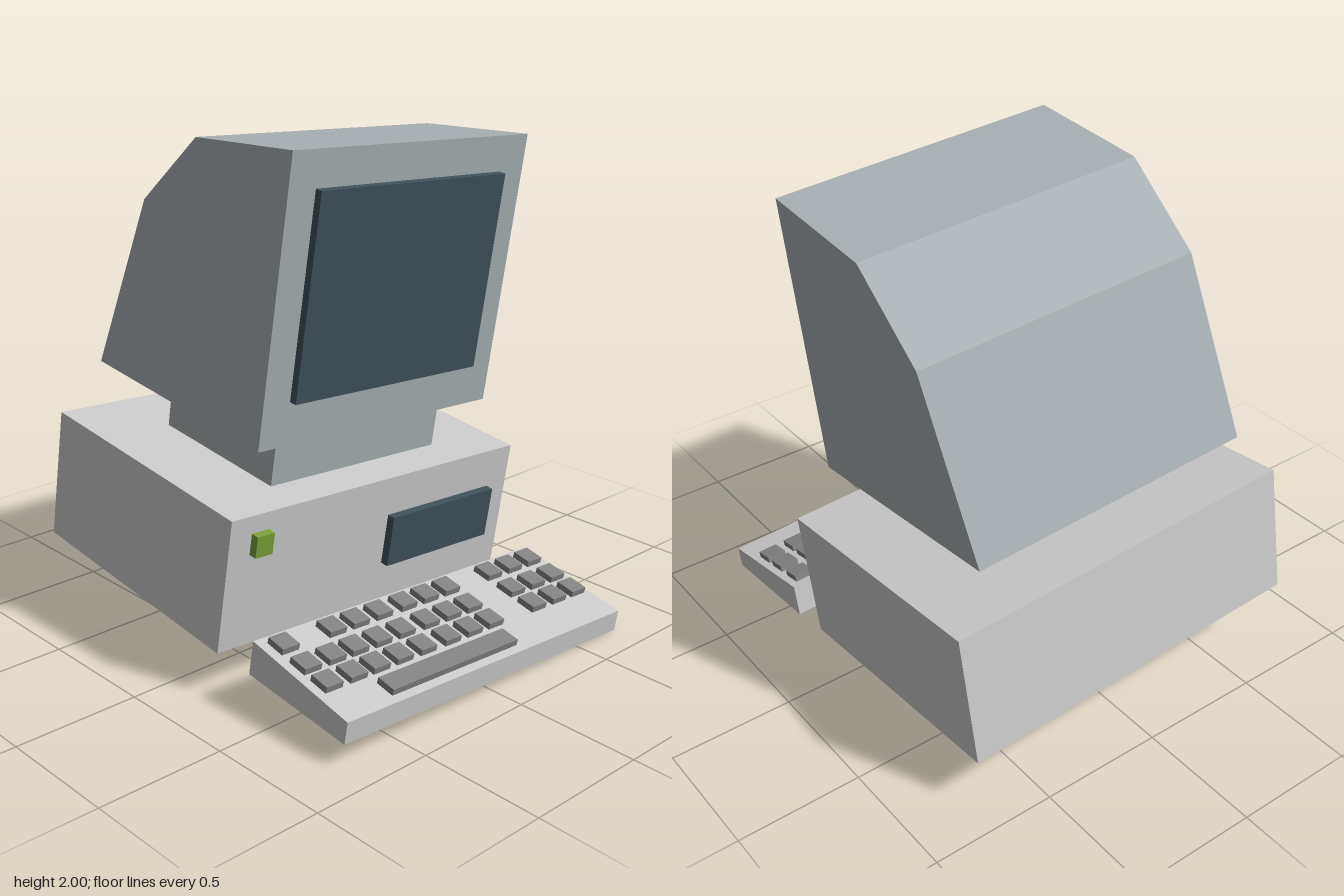
import * as THREE from 'three';

const material = (color) => new THREE.MeshStandardMaterial({ color, flatShading: true });
const grey = material(0xcccccc);
const shell = material(0xa9b1b4);
const glass = material(0x40515a);
const green = material(0x7ba038);
const keyGrey = material(0x838383);

function add(parent, name, geometry, mat) {
  const mesh = new THREE.Mesh(geometry, mat);
  mesh.name = name;
  parent.add(mesh);
  return mesh;
}

// Box given by its minimum and maximum corners
function block(parent, name, mat, [x0, y0, z0], [x1, y1, z1]) {
  const geometry = new THREE.BoxGeometry(x1 - x0, y1 - y0, z1 - z0);
  geometry.translate((x0 + x1) / 2, (y0 + y1) / 2, (z0 + z1) / 2);
  return add(parent, name, geometry, mat);
}

// Side profile of [z, y] points, swept from x0 to x1
function sweep(profile, x0, x1) {
  const shape = new THREE.Shape(profile.map(([z, y]) => new THREE.Vector2(z, y)));
  const geometry = new THREE.ExtrudeGeometry(shape, { depth: x1 - x0, bevelEnabled: false });
  return geometry.rotateY(-Math.PI / 2).translate(x1, 0, 0);
}

export function createModel() {
  const model = new THREE.Group();
  model.name = 'desktopComputer';

  // The whole computer leans a little to one side and forward
  const computer = new THREE.Group();
  computer.name = 'computer';
  computer.rotation.set(0.118, -0.004, -0.058, 'ZXY');
  model.add(computer);

  // Case with its power button and disk drive
  block(computer, 'case', grey, [-0.775, 0.153, -0.906], [0.714, 0.689, 0.188]);
  block(computer, 'powerButton', green, [-0.674, 0.532, 0.17], [-0.594, 0.617, 0.222]);
  block(computer, 'diskDrive', glass, [0.028, 0.317, 0.17], [0.6, 0.527, 0.222]);

  // Monitor stand
  block(computer, 'stand', shell, [-0.46, 0.68, -0.613], [0.402, 0.9, 0.027]);

  // Monitor housing; its upper back is pushed slightly sideways
  const housing = sweep(
    [[0.112, 0.893], [0.112, 1.993], [-0.438, 1.907], [-0.713, 1.604], [-0.88, 0.893]],
    -0.62, 0.576);
  const p = housing.attributes.position;
  for (let i = 0; i < p.count; i++) {
    if (p.getZ(i) < -0.1 && p.getY(i) > 1.2) p.setX(i, p.getX(i) + 0.024);
  }
  housing.computeVertexNormals();
  add(computer, 'monitorHousing', housing, shell);
  block(computer, 'screen', glass, [-0.495, 1.067, 0.09], [0.446, 1.853, 0.143]);

  // Wedge-shaped keyboard
  const backZ = 0.348, backY = 0.283, frontZ = 0.856, frontY = 0.234;
  const slope = (backY - frontY) / (frontZ - backZ);
  add(computer, 'keyboard', sweep(
    [[frontZ, 0.147], [frontZ, frontY], [backZ, backY], [backZ, 0.147]], -0.755, 0.722), grey);

  // Keys sit on the sloping deck
  const key = (name, x, z, width, depth) => {
    const mesh = add(computer, name, new THREE.BoxGeometry(width, 0.05, depth), keyGrey);
    mesh.position.set(x, backY - (z - backZ) * slope, z);
    mesh.rotation.x = Math.atan(slope);
  };
  const columns = [-0.678, -0.56, -0.448, -0.331, -0.21, -0.08, 0.04, 0.158, 0.411, 0.533, 0.652];
  [0.421, 0.547, 0.66].forEach((z, row) => {
    columns.forEach((x, column) => {
      if (row === 0 && column === 1) return; // gap beside the corner key
      key('key', row === 0 && column < 8 ? x + 0.003 : x, z, 0.08, 0.082);
    });
  });
  key('spaceBar', -0.184, 0.781, 0.654, 0.08);

  return model;
}
